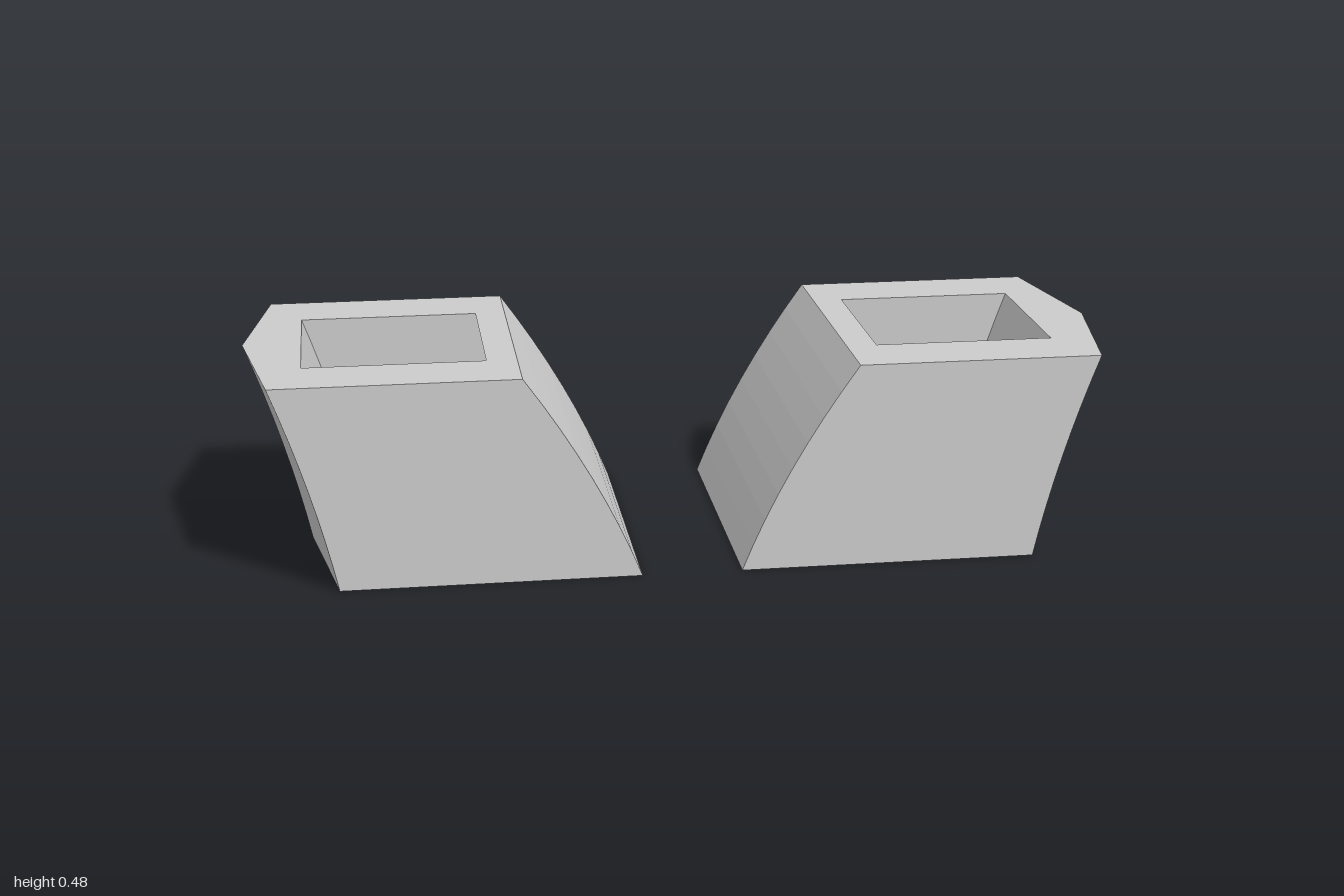
import * as THREE from 'three';

const HEIGHT = 0.48;
// [x at the top, x at the bottom, half depth]
const INNER = [0.38, 0.115, 0.35];
const HOLE_IN = [0.45, 0.2, 0.197];
const HOLE_OUT = [0.865, 0.73, 0.197];
const SHOULDER = [0.94, 0.8, 0.35];
const TIP = [1, 0.86, 0];
const STATIONS = [INNER, HOLE_IN, HOLE_OUT, SHOULDER, TIP];

// Curved hollow block: an extruded plan whose corners sweep outward with height
function hollowBlock(side, material) {
  const p = (s, sign) => new THREE.Vector2(side * s[0], sign * s[2]);
  const plan = new THREE.Shape([p(INNER, -1), p(SHOULDER, -1), p(TIP, 1), p(SHOULDER, 1), p(INNER, 1)]);
  plan.holes.push(new THREE.Path([p(HOLE_IN, -1), p(HOLE_IN, 1), p(HOLE_OUT, 1), p(HOLE_OUT, -1)]));
  const geometry = new THREE.ExtrudeGeometry(plan, { depth: HEIGHT, steps: 8, bevelEnabled: false });
  geometry.rotateX(-Math.PI / 2);

  const pos = geometry.attributes.position;
  for (let i = 0; i < pos.count; i++) {
    const x = Math.abs(pos.getX(i));
    const t = pos.getY(i) / HEIGHT;
    const [top, bottom] = STATIONS.find((s) => Math.abs(s[0] - x) < 0.001);
    const bow = 0.075 * (top - bottom) * 4 * t * (1 - t);
    pos.setX(i, side * (bottom + (top - bottom) * t - bow));
  }
  geometry.computeVertexNormals();
  return new THREE.Mesh(geometry, material);
}

export function createModel() {
  const model = new THREE.Group();
  model.name = 'hollowBlockPair';
  const material = new THREE.MeshStandardMaterial({ color: 0xcccccc, flatShading: true });
  for (const side of [1, -1]) {
    const block = hollowBlock(side, material);
    block.name = side > 0 ? 'leftBlock' : 'rightBlock';
    model.add(block);
  }
  return model;
}
